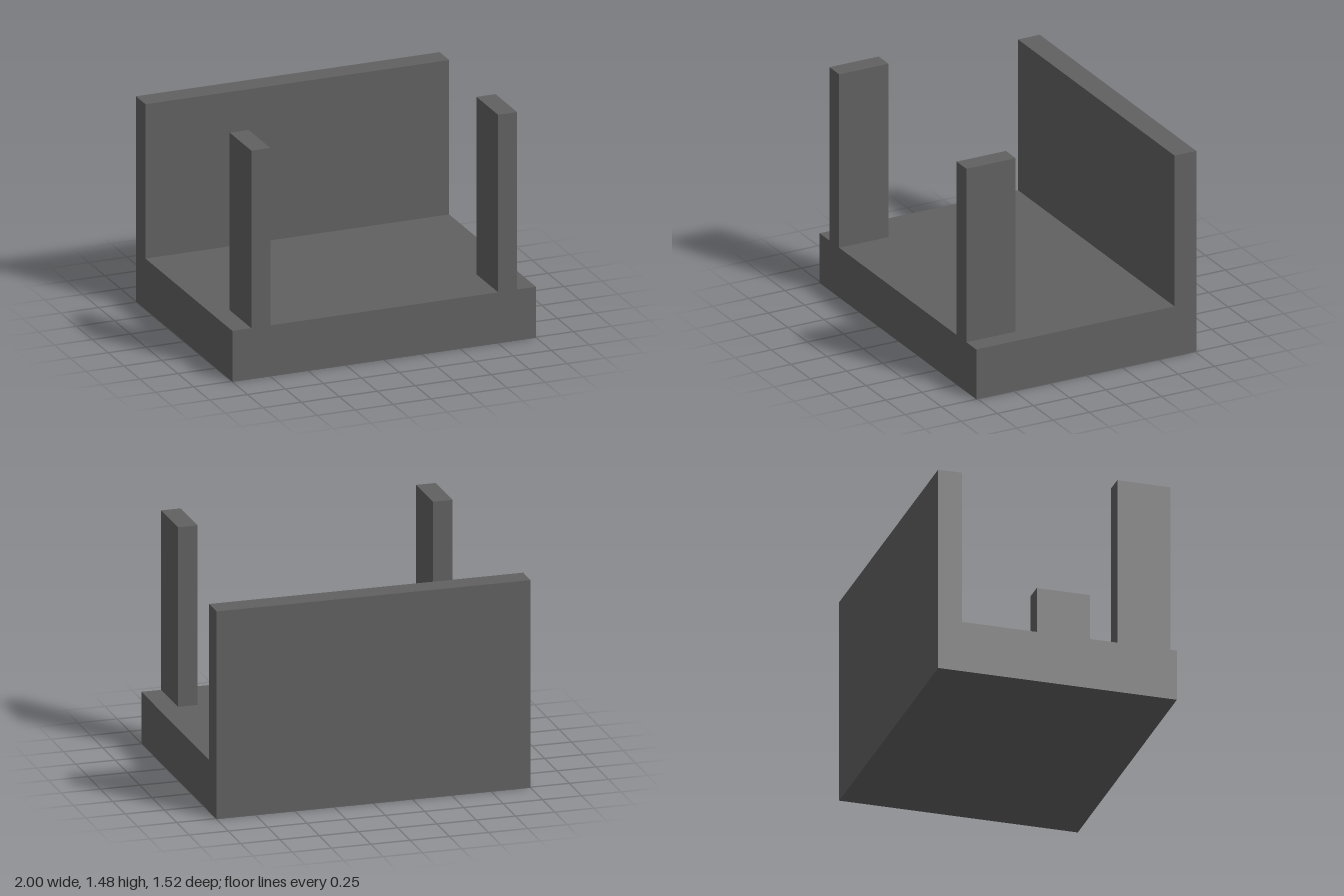
import * as THREE from 'three';

export function createModel() {
  const group = new THREE.Group();
  const grey = new THREE.MeshStandardMaterial({ color: 0x606060 });
  grey.name = 'dark grey';

  const front = 0.76, back = -0.76;
  const floorTop = 0.33, wallTop = 1.33, wallFront = -0.61;

  // Floor slab and rear wall: one L-shaped side profile (z, y) run across x
  const profile = new THREE.Shape([
    [back, 0], [front, 0], [front, floorTop],
    [wallFront, floorTop], [wallFront, wallTop], [back, wallTop],
  ].map(([z, y]) => new THREE.Vector2(z, y)));
  const bodyGeometry = new THREE.ExtrudeGeometry(profile, { depth: 2, bevelEnabled: false });
  bodyGeometry.translate(0, 0, -1).rotateY(-Math.PI / 2);
  const body = new THREE.Mesh(bodyGeometry, grey);
  body.name = 'baseAndBackWall';
  group.add(body);

  // Two upright posts flush with the front edge
  const postTop = 1.48, postBack = 0.42;
  const height = postTop - floorTop, depth = front - postBack;
  const postGeometry = new THREE.BoxGeometry(0.125, height, depth);
  for (const [name, side] of [['leftPost', 1], ['rightPost', -1]]) {
    const post = new THREE.Mesh(postGeometry, grey);
    post.name = name;
    post.position.set(side * 0.8125, floorTop + height / 2, postBack + depth / 2);
    group.add(post);
  }

  return group;
}
